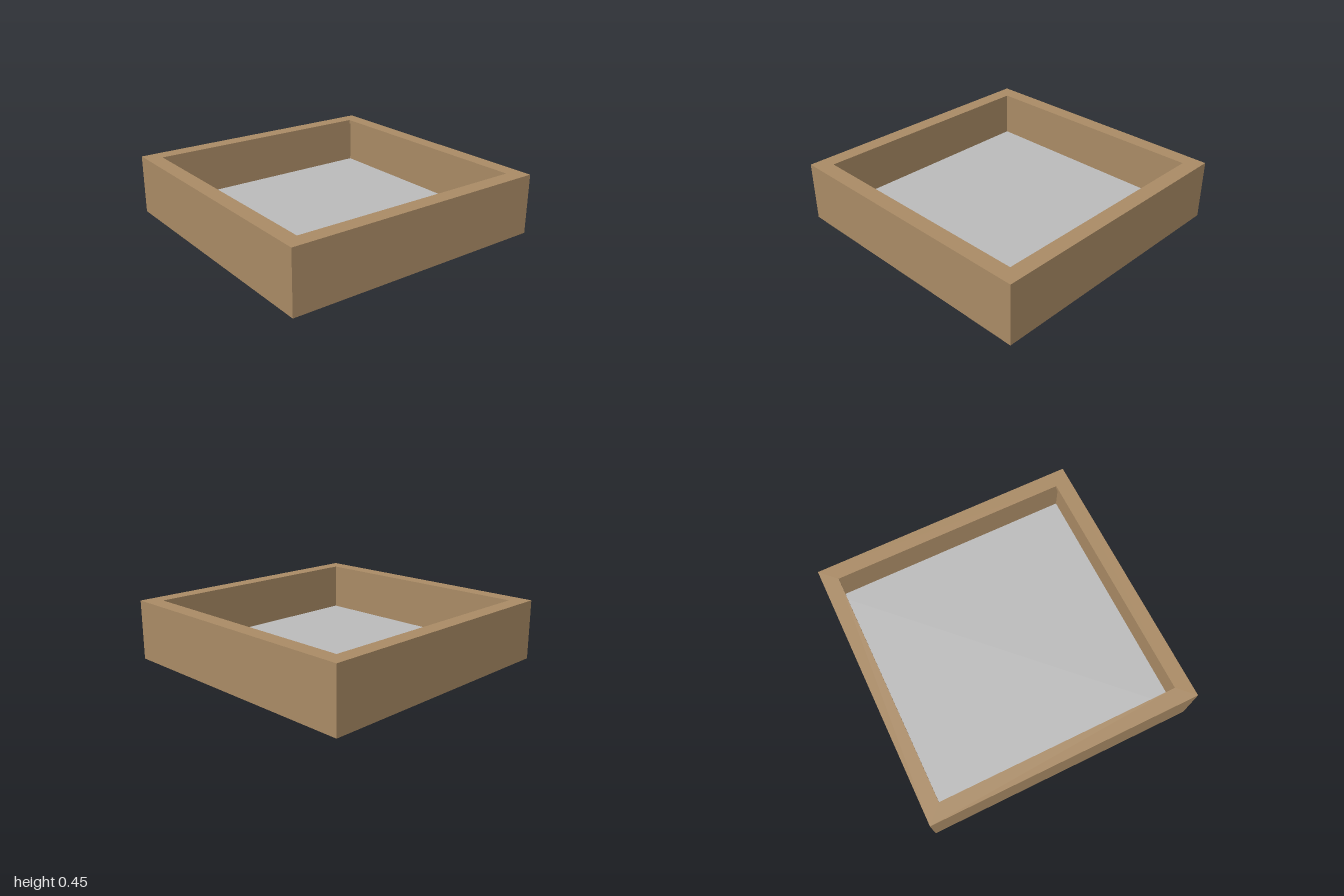
import * as THREE from 'three';

const mat = (name, color) => Object.assign(new THREE.MeshStandardMaterial({ color }), { name });

// Square ring or polygon lying flat, extruded downwards from y = top
function slab(points, top, height, hole) {
  const shape = new THREE.Shape(points.map(p => new THREE.Vector2(p[0], p[1])));
  if (hole) shape.holes.push(new THREE.Path(hole.map(p => new THREE.Vector2(p[0], p[1]))));
  return new THREE.ExtrudeGeometry(shape, { depth: height, bevelEnabled: false, curveSegments: 8 })
    .rotateX(Math.PI / 2).translate(0, top, 0);
}
const square = h => [[-h, -h], [h, -h], [h, h], [-h, h]];

export function createModel() {
  const wood = mat('wood', 0xab8c66);
  const paper = mat('greyPaper', 0xbcbcbc);
  const black = mat('blackBacking', 0x30302b);
  const metal = mat('metal', 0x8c8c8c);

  const model = new THREE.Group();
  model.name = 'shadowBoxFrame';
  const add = (name, geometry, material, parent = model) => {
    const mesh = new THREE.Mesh(geometry, material);
    mesh.name = name;
    parent.add(mesh);
    return mesh;
  };
  const box = (name, w, h, d, x, y, z, material, parent) =>
    add(name, new THREE.BoxGeometry(w, h, d).translate(x, y, z), material, parent);

  // Deep outer walls with a narrower lip around the top opening
  add('frameWalls', slab(square(1), 0.42, 0.412, square(0.94)), wood);
  add('frameLip', slab(square(1), 0.45, 0.03, square(0.885)), wood);

  // Backing board, recessed from below, with paper on its inner side
  box('backingBoard', 1.88, 0.018, 1.88, 0, 0.059, 0, black);
  box('paper', 1.88, 0.005, 1.88, 0, 0.0705, 0, paper);

  // Folded stand: black faces, raw wooden edges, hinged across the diagonal
  add('standFlap', slab([[0.14, 0.14], [0.49, 0.51], [0.93, -0.88], [0.87, -0.92]], 0.05, 0.02),
    [black, wood]);
  const hinge = new THREE.Group();
  hinge.name = 'standHinge';
  hinge.position.set(0.31, 0, 0.33);
  hinge.rotation.y = -Math.PI / 4;
  model.add(hinge);
  box('hingePlate', 0.48, 0.006, 0.07, 0, 0.028, 0, black, hinge);
  for (const x of [-0.18, -0.06, 0.06, 0.18])
    add('hingeRivet', new THREE.CylinderGeometry(0.014, 0.014, 0.006, 10).translate(x, 0.024, 0), black, hinge);

  // Toothed wall hanger with a screw at each end
  const hanger = new THREE.Group();
  hanger.name = 'wallHanger';
  hanger.position.set(-0.77, 0, 0);
  model.add(hanger);
  const strip = [[-0.022, -0.17], [-0.022, 0.17], [0.012, 0.17]];
  for (let i = 0; i < 12; i++) {
    const z = 0.15 - i * 0.3 / 11;
    strip.push([0.024, z], [0.01, z - 0.0136]);
  }
  strip.push([0.012, -0.17]);
  add('toothedStrip', slab(strip, 0.046, 0.008), metal, hanger);
  for (const s of [-1, 1]) {
    box('hangerTab', 0.07, 0.008, 0.07, 0, 0.046, s * 0.205, metal, hanger);
    add('hangerTabEnd', new THREE.CylinderGeometry(0.035, 0.035, 0.008, 16).translate(0, 0.046, s * 0.24), metal, hanger);
    add('screw', new THREE.CylinderGeometry(0.018, 0.014, 0.008, 12).translate(0, 0.038, s * 0.22), metal, hanger);
    box('hangerStep', 0.044, 0.014, 0.02, 0, 0.042, s * 0.165, metal, hanger);
  }

  // Small tabs that hold the backing board in place
  for (const s of [-1, 1]) box('retainingTab', 0.04, 0.008, 0.05, 0, 0.036, s * 0.92, black);

  // Thin pads under the four corners
  for (const x of [-1, 1]) for (const z of [-1, 1])
    box('cornerPad', 0.05, 0.008, 0.05, x * 0.965, 0.004, z * 0.965, black);

  return model;
}
